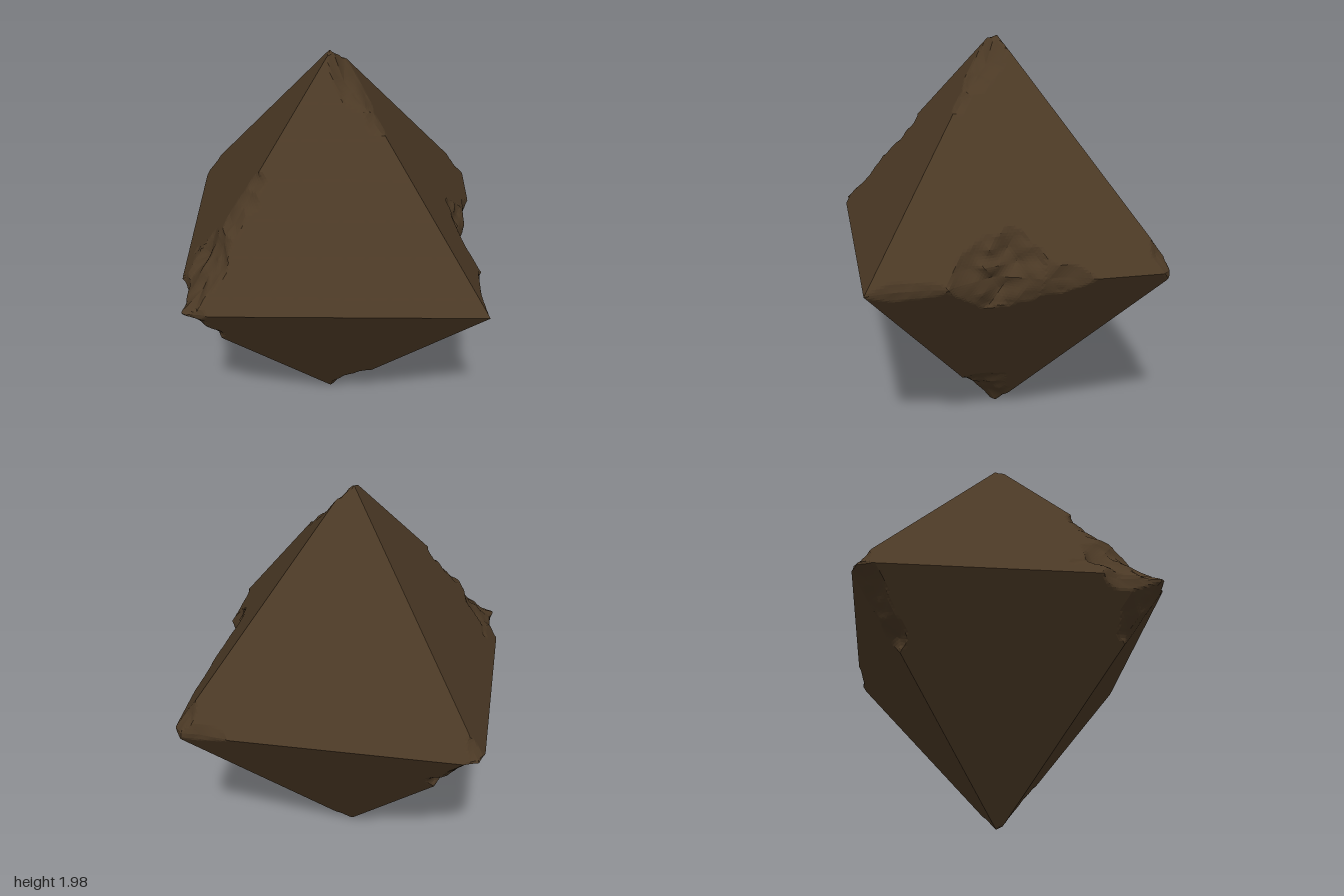
import * as THREE from 'three';

const R = 1.01; // distance from centre to each corner

// seeded lattice noise, 0..1, blended linearly for a faceted look
function hash(i, j, k) {
  const v = Math.sin(i * 127.1 + j * 311.7 + k * 74.7 + 5.3) * 43758.5453;
  return v - Math.floor(v);
}
function noise(x, y, z) {
  const i = Math.floor(x), j = Math.floor(y), k = Math.floor(z);
  let sum = 0;
  for (let n = 0; n < 8; n++) {
    const a = n & 1, b = (n >> 1) & 1, c = n >> 2;
    sum += hash(i + a, j + b, k + c) *
      (a ? x - i : 1 - x + i) * (b ? y - j : 1 - y + j) * (c ? z - k : 1 - z + k);
  }
  return sum;
}

// A broken stretch of the edge between two corners, such as '+y' and '-x'.
// It runs from start to end (0..1 along the edge) and is deepest midway;
// widePos and wideNeg are its width/depth on either side of the third axis.
function chip(cornerA, cornerB, start, end, depth, widePos = 1.2, wideNeg = 1.2) {
  const [axisA, axisB] = [cornerA, cornerB].map(c => 'xyz'.indexOf(c[1]));
  const [signA, signB] = [cornerA, cornerB].map(c => (c[0] === '+' ? 1 : -1));
  return (p, rough) => {
    const a = p[axisA] * signA, b = p[axisB] * signB, c = p[3 - axisA - axisB];
    if (a + b < 0.5) return 1;
    const u = (THREE.MathUtils.clamp(b / (a + b), 0, 1) - start) / (end - start);
    if (u <= 0 || u >= 1) return 1;
    const d = depth * rough * Math.sqrt(4 * u * (1 - u));
    const slope = 1 - 1 / (c >= 0 ? widePos : wideNeg);
    return (R - d) / (a + b + slope * Math.abs(c));
  };
}

const chips = [
  // upper edges
  chip('+y', '+x', -0.05, 0.24, 0.065, 1, 1.5),
  chip('+y', '+x', 0.22, 0.33, 0.03),
  chip('+y', '-x', 0.9, 1.1, 0.03),
  chip('+y', '+z', 0.47, 0.55, 0.04),
  chip('+y', '+z', 0.51, 0.73, 0.052),
  chip('+y', '+z', 0.69, 1.04, 0.1, 0.9, 2.2),
  chip('+y', '-z', 0.87, 1.1, 0.035),
  // lower edges
  chip('-y', '-x', 0.69, 0.83, 0.055),
  chip('-y', '-x', 0.75, 1.06, 0.055),
  chip('-y', '+x', -0.04, 0.28, 0.045, 1, 3),
  chip('-y', '+z', 0.75, 1.1, 0.05, 1.1, 1.9),
  // middle edges
  chip('-z', '+x', 0.27, 0.5, 0.07),
  chip('-z', '+x', 0.4, 0.74, 0.13, 1.8, 1),
  chip('-z', '+x', 0.74, 1, 0.035),
  chip('-z', '-x', -0.15, 0.18, 0.03, 1.8, 1),
  chip('+z', '-x', -0.1, 0.21, 0.06, 1.5, 1),
  chip('+z', '+x', -0.1, 0.1, 0.03, 1.5, 1),
];

// blunted corners: positive and negative reach along x, y, z
const reaches = [[1.01, 0.988], [0.995, 0.995], [0.97, 0.97]];

// scale that pulls a surface point toward the centre
function shrink(p) {
  const rough = 0.6 + 0.8 * noise(p[0] * 15, p[1] * 15, p[2] * 15);
  const blunt = p.map((v, i) => reaches[i][v >= 0 ? 0 : 1] / Math.max(Math.abs(v), 0.5));
  return Math.min(1, ...blunt, ...chips.map(cut => cut(p, rough)));
}

export function createModel() {
  const group = new THREE.Group();
  group.name = 'chippedOctahedron';
  const stone = new THREE.MeshStandardMaterial({ color: 0x4b3925 });
  stone.name = 'dark brown stone';

  // finely divided flat-sided octahedron, eroded along its edges
  const geometry = new THREE.OctahedronGeometry(1, 80);
  const pos = geometry.attributes.position;
  for (let i = 0; i < pos.count; i++) {
    const p = [pos.getX(i), pos.getY(i), pos.getZ(i)];
    const k = R / (Math.abs(p[0]) + Math.abs(p[1]) + Math.abs(p[2]));
    const q = p.map(v => Math.round(v * k * 1e5) / 1e5);
    const s = shrink(q);
    pos.setXYZ(i, q[0] * s, q[1] * s, q[2] * s);
  }
  geometry.computeVertexNormals();

  const body = new THREE.Mesh(geometry, stone);
  body.name = 'stoneBody';
  body.position.set(-0.012, 0.995, 0);
  group.add(body);
  return group;
}
